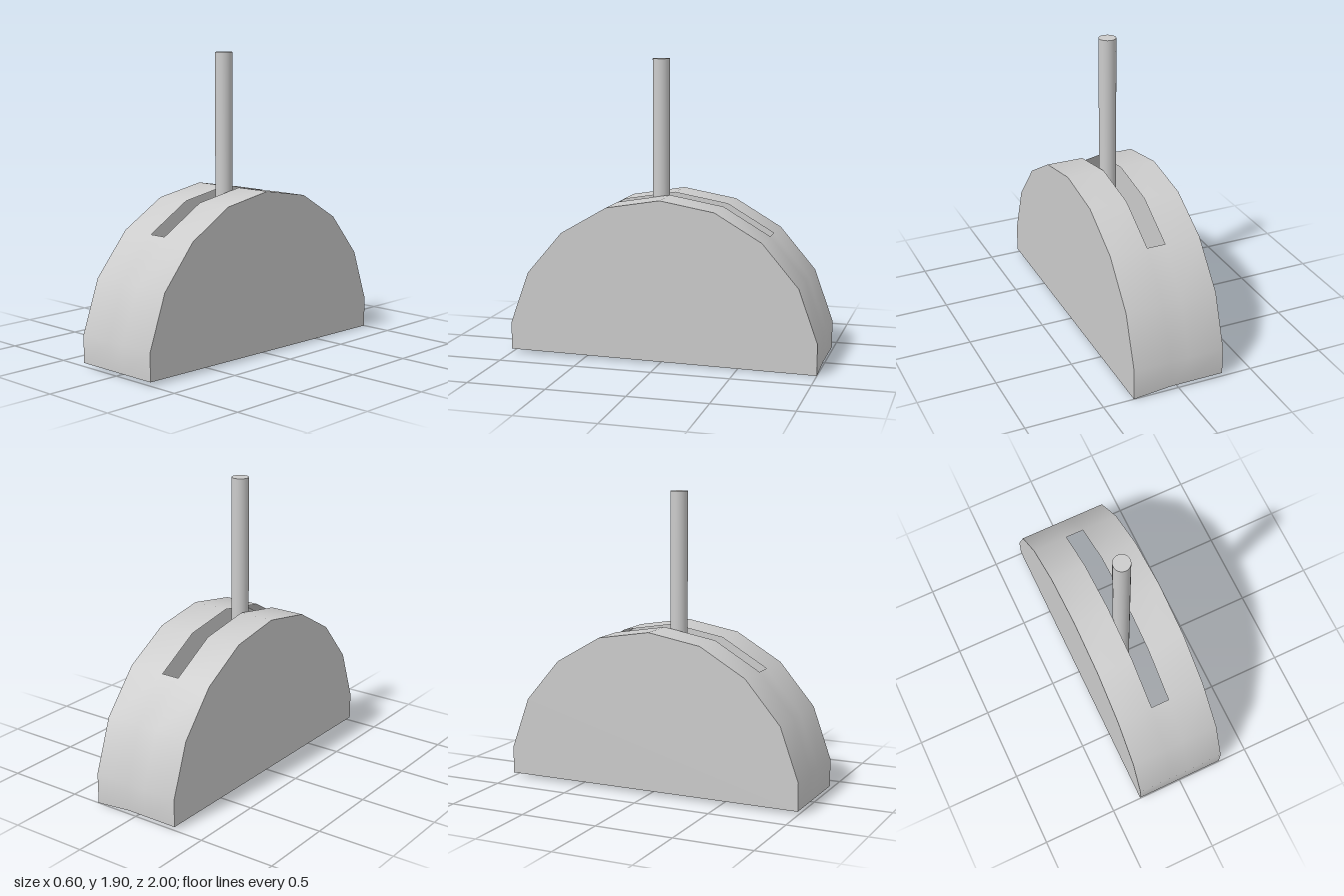
import * as THREE from 'three';

const grey = () => new THREE.MeshStandardMaterial({ color: 0xcccccc, side: THREE.DoubleSide });

// Half arch as [z, y], mirrored front to back; the base of one corner dips slightly
const half = [[1, 0.023], [1, 0.2], [0.88, 0.535], [0.65, 0.805], [0.35, 0.98]];
function archProfile(backBaseY) {
  const back = half.map(([z, y]) => [-z, y]).reverse();
  back[back.length - 1][1] = backBaseY;
  return [...half, [0, 1.04], ...back];
}
const rightX = 0.3, leftX = -0.3;
const straight = archProfile(0.023), dipped = archProfile(0);

// Curved band over the arch, a grid with the middle column left open for the slot
function makeBand() {
  const xs = [leftX, -0.065, 0.055, rightX];
  const positions = [], index = [];
  for (let i = 0; i < straight.length; i++) {
    for (const x of xs) {
      const [z, y] = (x === rightX ? dipped : straight)[i];
      positions.push(x, y, z);
    }
  }
  for (let i = 0; i < straight.length - 1; i++) {
    for (let j = 0; j < 3; j++) {
      const inSlot = j === 1 && i >= 3 && i < straight.length - 4;
      if (inSlot) continue;
      const a = i * 4 + j, b = a + 1, c = a + 4, d = a + 5;
      index.push(a, b, d, a, d, c);
    }
  }
  const geometry = new THREE.BufferGeometry();
  geometry.setAttribute('position', new THREE.Float32BufferAttribute(positions, 3));
  geometry.setIndex(index);
  geometry.computeVertexNormals();
  return new THREE.Mesh(geometry, grey());
}

// Flat arched side panel, facing outwards
function makeSide(profile, x) {
  const s = Math.sign(x);
  const shape = new THREE.Shape(profile.map(([z, y]) => new THREE.Vector2(-s * z, y)));
  const mesh = new THREE.Mesh(new THREE.ShapeGeometry(shape), grey());
  mesh.rotation.y = s * Math.PI / 2;
  mesh.position.x = x;
  return mesh;
}

export function createModel() {
  const model = new THREE.Group();
  const add = (name, mesh) => { mesh.name = name; model.add(mesh); };

  // Hollow housing, open underneath
  add('slottedBand', makeBand());
  add('leftSidePanel', makeSide(dipped, rightX));
  add('rightSidePanel', makeSide(straight, leftX));

  // Lever rod standing in the slot
  const bottom = 0.11, top = 1.9;
  const rod = new THREE.Mesh(new THREE.CylinderGeometry(0.055, 0.055, top - bottom, 32), grey());
  rod.position.set(-0.005, (top + bottom) / 2, 0.073);
  add('leverRod', rod);

  return model;
}
